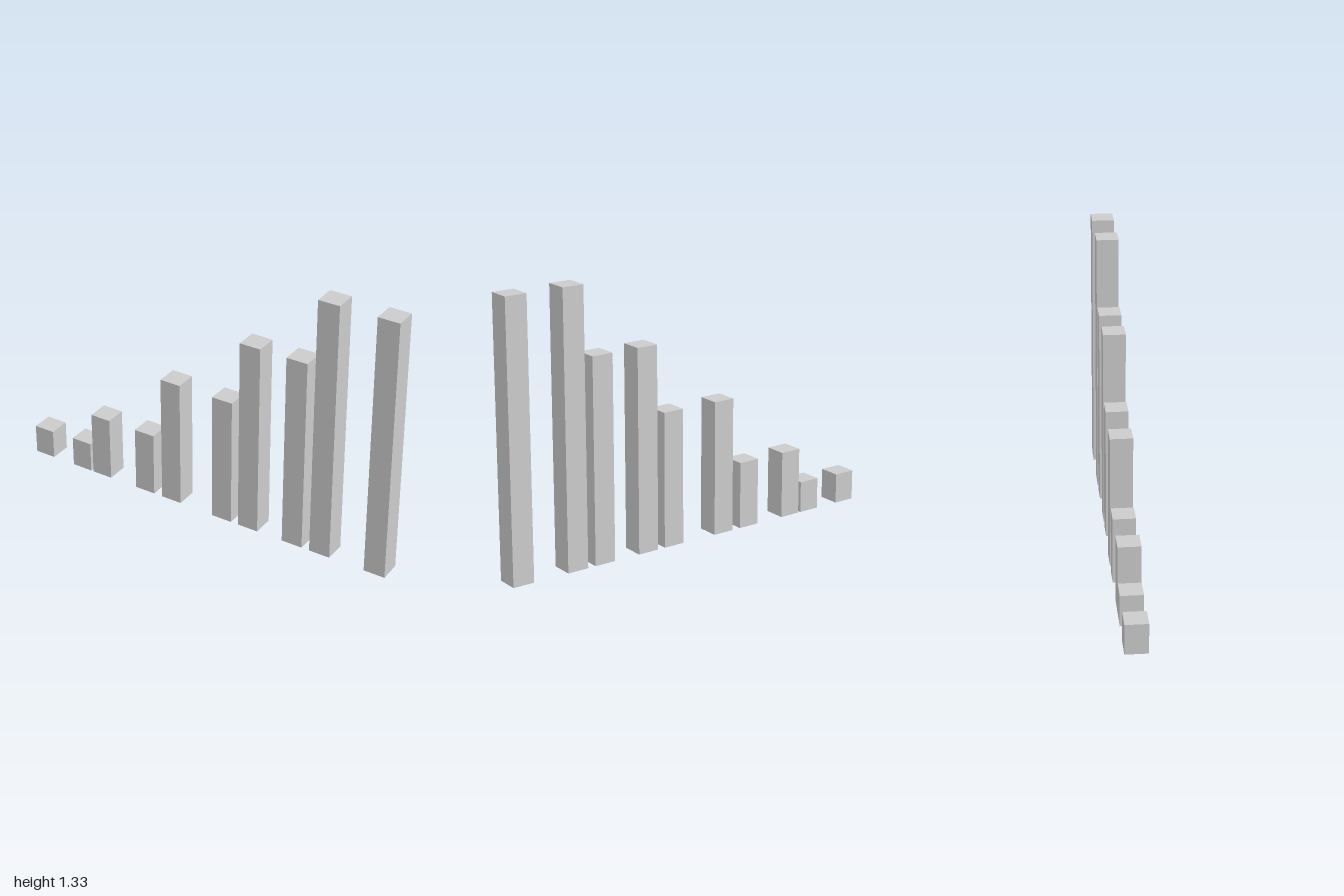
import * as THREE from 'three';

// Square pillars in pairs of rising height: [x of right pillar, x of left pillar, heights]
const PAIRS = [
  { x: [-0.946, -0.714], h: [0.15, 0.156], z: [-0.002, -0.002] },
  { x: [-0.592, -0.332], h: [0.333, 0.333], z: [-0.002, -0.002] },
  { x: [-0.177, 0.115], h: [0.665, 0.665], z: [-0.002, 0.002] },
  { x: [0.262, 0.506], h: [0.997, 0.997], z: [0.002, 0.002] },
  { x: [0.655, 0.945], h: [1.33, 1.33], z: [0.002, 0.002] },
];
const SIDE = 0.108;

export function createModel() {
  const model = new THREE.Group();
  model.name = 'steppedPillars';
  const material = new THREE.MeshStandardMaterial({ color: 0xcccccc, flatShading: true });

  PAIRS.forEach(({ x, h, z }, p) => {
    const pair = new THREE.Group();
    pair.name = `pillarPair${p + 1}`;
    ['rightPillar', 'leftPillar'].forEach((name, i) => {
      const pillar = new THREE.Mesh(new THREE.BoxGeometry(SIDE, h[i], SIDE), material);
      pillar.name = name;
      pillar.position.set(x[i], h[i] / 2, z[i]); // stands on the floor
      pair.add(pillar);
    });
    model.add(pair);
  });
  return model;
}
